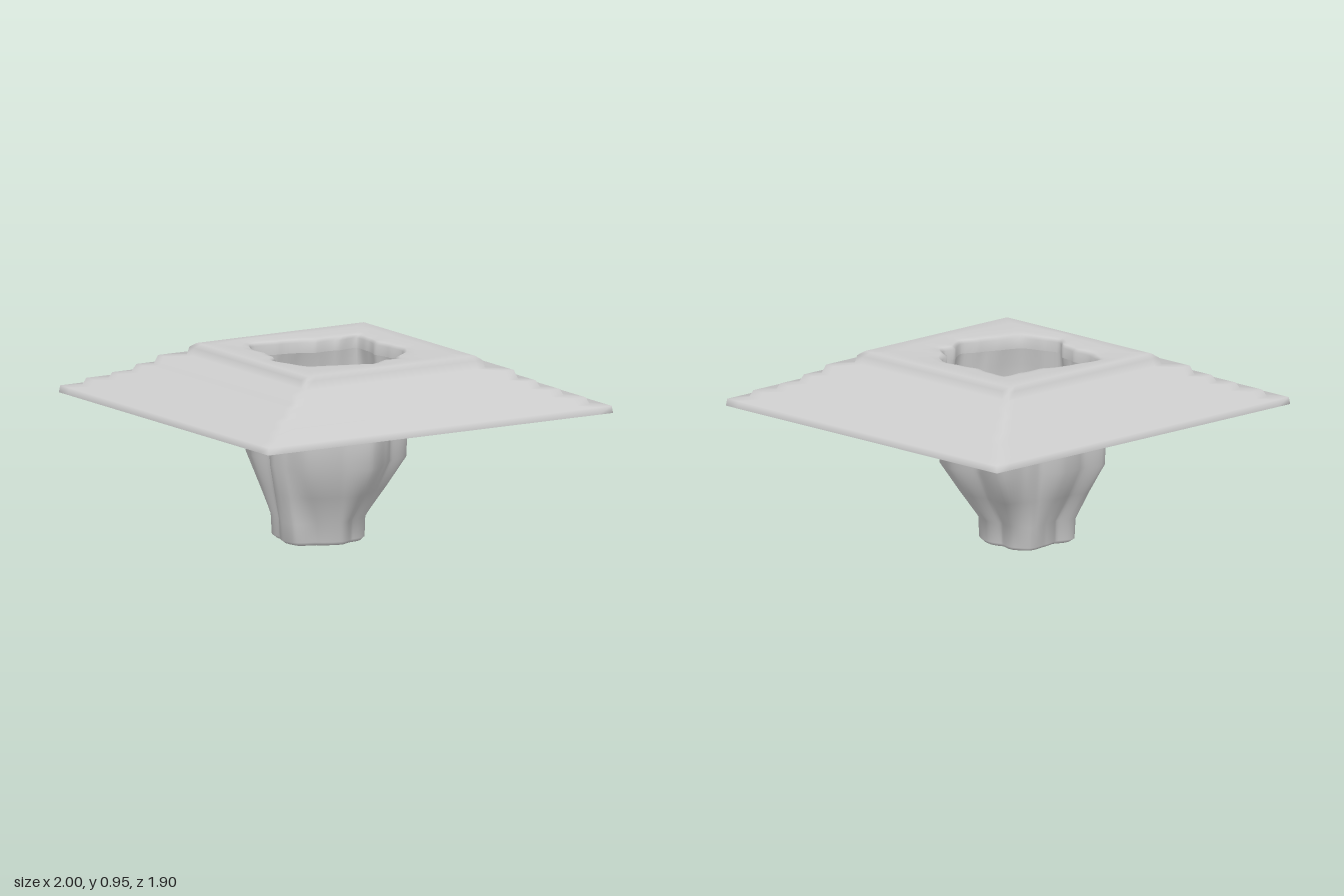
import * as THREE from 'three';

const N = 144;                 // samples around each ring, a multiple of 8 so corners are hit
const CX = -0.04, CZ = -0.03;  // axis of the pit
const TAU = Math.PI * 2;

// Rectangular ring with half sizes hx, hz
function square(hx, hz, y) {
  return Array.from({ length: N }, (_, i) => {
    const a = (i / N) * TAU, c = Math.cos(a), s = Math.sin(a);
    const m = Math.max(Math.abs(c), Math.abs(s));
    return new THREE.Vector3((hx * c) / m, y, (hz * s) / m);
  });
}

// Ragged ring following [x, z] outline points, resampled by angle about the pit axis
function ragged(points, y, scale = 1) {
  const polar = points
    .map(([x, z]) => [(Math.atan2(z - CZ, x - CX) + TAU) % TAU, Math.hypot(x - CX, z - CZ)])
    .sort((p, q) => p[0] - q[0]);
  const first = polar[0], last = polar[polar.length - 1];
  polar.unshift([last[0] - TAU, last[1]]);
  polar.push([first[0] + TAU, first[1]]);
  return Array.from({ length: N }, (_, i) => {
    const a = (i / N) * TAU;
    const k = polar.findIndex((p) => p[0] > a);
    const [p, q] = [polar[k - 1], polar[k]];
    const t = THREE.MathUtils.smoothstep(a, p[0], q[0]) * 0.5 + ((a - p[0]) / (q[0] - p[0])) * 0.5;
    const r = (p[1] + (q[1] - p[1]) * t) * scale;
    return new THREE.Vector3(CX + r * Math.cos(a), y, CZ + r * Math.sin(a));
  });
}

const blend = (r1, r2, t, y) => r1.map((p, i) => p.clone().lerp(r2[i], t).setY(y));

// Smooth surface joining rings listed from outside to inside
function skin(rings, name, material) {
  const pos = [], index = [];
  rings.forEach((ring) => ring.forEach((p) => pos.push(p.x, p.y, p.z)));
  for (let r = 0; r < rings.length - 1; r++) {
    for (let i = 0; i < N; i++) {
      const j = (i + 1) % N;
      const a = r * N + i, b = r * N + j, c = a + N, d = b + N;
      index.push(a, c, b, b, c, d);
    }
  }
  const geometry = new THREE.BufferGeometry();
  geometry.setAttribute('position', new THREE.Float32BufferAttribute(pos, 3));
  geometry.setIndex(index);
  geometry.computeVertexNormals();
  const mesh = new THREE.Mesh(geometry, material);
  mesh.name = name;
  return mesh;
}

// Broken edge of the opening
const HOLE = [
  [0.31, -0.3], [0.2, -0.29], [0.07, -0.3], [0, -0.34], [-0.1, -0.36], [-0.25, -0.38],
  [-0.3, -0.27], [-0.3, -0.15], [-0.32, -0.05], [-0.38, 0.03], [-0.35, 0.12], [-0.31, 0.22],
  [-0.2, 0.27], [-0.1, 0.31], [-0.02, 0.35], [0.08, 0.29], [0.15, 0.3], [0.2, 0.22],
  [0.28, 0.17], [0.32, 0.1], [0.31, 0], [0.29, -0.1], [0.31, -0.2],
];
// Fluted wall of the pit
const WALL = [
  [0.34, -0.3], [0.2, -0.32], [0.1, -0.33], [0, -0.4], [-0.12, -0.4], [-0.25, -0.43],
  [-0.33, -0.27], [-0.32, -0.1], [-0.39, 0.03], [-0.37, 0.12], [-0.33, 0.24], [-0.15, 0.31],
  [-0.02, 0.37], [0.1, 0.3], [0.17, 0.23], [0.3, 0.18], [0.355, 0.05], [0.31, -0.1],
];
// Foot of the pit
const FLOOR = [
  [0.13, -0.17], [0.08, -0.24], [-0.02, -0.24], [-0.1, -0.23], [-0.2, -0.26], [-0.25, -0.19],
  [-0.26, -0.1], [-0.31, 0], [-0.3, 0.09], [-0.2, 0.13], [-0.08, 0.18], [0, 0.14],
  [0.1, 0.1], [0.14, 0], [0.12, -0.08],
];

export function createModel() {
  const group = new THREE.Group();
  group.name = 'steppedMoundWithPit';
  const material = new THREE.MeshStandardMaterial({ color: 0xcccccc, side: THREE.DoubleSide });

  // Hollow stepped slab: half width, half depth, height
  const steps = [
    [1, 0.95, 0.69], [0.995, 0.945, 0.725],
    [0.91, 0.88, 0.73], [0.895, 0.865, 0.765],
    [0.82, 0.785, 0.768], [0.805, 0.77, 0.8],
    [0.73, 0.715, 0.805], [0.71, 0.7, 0.842],
    [0.645, 0.645, 0.845], [0.63, 0.628, 0.89],
    [0.52, 0.54, 0.895], [0.512, 0.53, 0.935], [0.485, 0.505, 0.955],
  ].map(([hx, hz, y]) => square(hx, hz, y));

  // Flat top running in to a rounded lip
  const top = steps[steps.length - 1];
  const lip = ragged(HOLE, 0.93);
  const slab = [...steps, blend(top, lip, 0.35, 0.955), blend(top, lip, 0.75, 0.95),
    blend(top, lip, 0.92, 0.945), lip, ragged(HOLE, 0.88)];
  group.add(skin(slab, 'steppedSlab', material));

  // Pit: bulging wall, tapered lower part and slightly tilted floor
  const shoulder = ragged(WALL, 0.42, 0.985);
  const foot = ragged(FLOOR, 0.13, 1.02);
  const tilt = (ring) => ring.map((p) => p.setY(p.y + 0.02 * (p.z - p.x)));
  const pit = [
    ragged(HOLE, 0.88), blend(ragged(HOLE, 0), ragged(WALL, 0), 0.5, 0.8),
    ragged(WALL, 0.7), ragged(WALL, 0.56), shoulder,
    blend(shoulder, foot, 0.5, 0.27), foot,
    tilt(ragged(FLOOR, 0.03)), tilt(ragged(FLOOR, 0.012, 0.9)),
    tilt(ragged(FLOOR, 0.011, 0.5)), tilt(ragged(FLOOR, 0.011, 0.001)),
  ];
  group.add(skin(pit, 'pit', material));
  return group;
}
